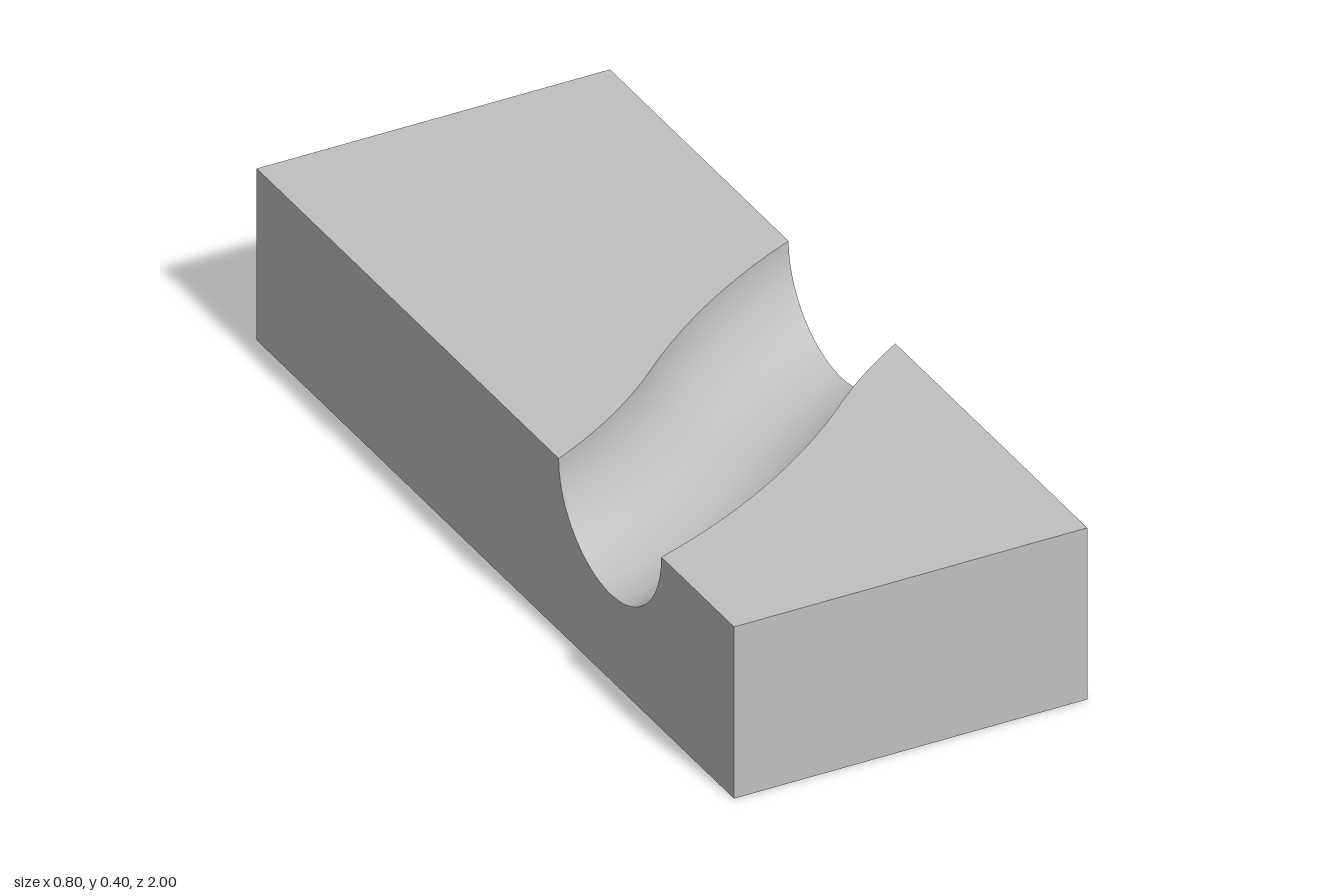
import * as THREE from 'three';

const HALF_W = 0.4, HEIGHT = 0.4, HALF_L = 1;   // block
const GROOVE = 0.2, BEND = 1.5;                 // groove radius, radius of its S-bend
const ANGLE = THREE.MathUtils.degToRad(42);     // heading at the middle of the S
const MID = { x: 0.06, z: 0.199 };              // where the two arcs meet
const NX = Math.sin(ANGLE), NZ = Math.cos(ANGLE);
const STEPS = 48, SIDES = 40;

// z of the curve running parallel to the groove's centre line at offset d
function grooveZ(x, d) {
  const s = x < MID.x + d * NX ? 1 : -1;        // left arc bends back, right arc bends forward
  const cx = MID.x - s * BEND * NX, cz = MID.z - s * BEND * NZ;
  return cz + s * Math.sqrt((BEND + s * d) ** 2 - (x - cx) ** 2);
}

// half-round groove section cut square to x, from front lip to back lip
function grooveSection(x) {
  return Array.from({ length: SIDES + 1 }, (_, i) => {
    const a = Math.PI * i / SIDES;
    return [x, HEIGHT - GROOVE * Math.sin(a), grooveZ(x, GROOVE * Math.cos(a))];
  });
}

// surface through rows of points; faces outward along (row step) x (column step)
function surface(name, rows, material) {
  const cols = rows[0].length, index = [];
  for (let i = 0; i < rows.length - 1; i++) {
    for (let j = 0; j < cols - 1; j++) {
      const a = i * cols + j, b = a + cols;
      index.push(a, b, b + 1, a, b + 1, a + 1);
    }
  }
  const geometry = new THREE.BufferGeometry();
  geometry.setAttribute('position', new THREE.Float32BufferAttribute(rows.flat(2), 3));
  geometry.setIndex(index);
  geometry.computeVertexNormals();
  const mesh = new THREE.Mesh(geometry, material);
  mesh.name = name;
  return mesh;
}

export function createModel() {
  const grey = new THREE.MeshStandardMaterial({ color: 0xc0c0c0 });
  grey.name = 'plain grey';
  const model = new THREE.Group();
  model.name = 'groovedBlock';

  const xs = Array.from({ length: STEPS + 1 }, (_, i) => -HALF_W + 2 * HALF_W * i / STEPS);
  const ends = [-HALF_W, HALF_W];
  const add = (name, rows) => model.add(surface(name, rows, grey));

  // groove and the two top faces beside it
  add('groove', xs.map(grooveSection));
  add('topFront', xs.map(x => [[x, HEIGHT, HALF_L], [x, HEIGHT, grooveZ(x, GROOVE)]]));
  add('topBack', xs.map(x => [[x, HEIGHT, grooveZ(x, -GROOVE)], [x, HEIGHT, -HALF_L]]));

  // plain faces
  add('bottom', ends.map(x => [[x, 0, -HALF_L], [x, 0, HALF_L]]));
  add('front', ends.map(x => [[x, 0, HALF_L], [x, HEIGHT, HALF_L]]));
  add('back', ends.map(x => [[x, HEIGHT, -HALF_L], [x, 0, -HALF_L]]));

  // long sides with the groove's opening
  for (const x of ends) {
    const edge = [[x, HEIGHT, HALF_L], ...grooveSection(x), [x, HEIGHT, -HALF_L]];
    const floor = edge.map(p => [x, 0, p[2]]);
    add(x > 0 ? 'leftSide' : 'rightSide', x > 0 ? [edge, floor] : [floor, edge]);
  }
  return model;
}
